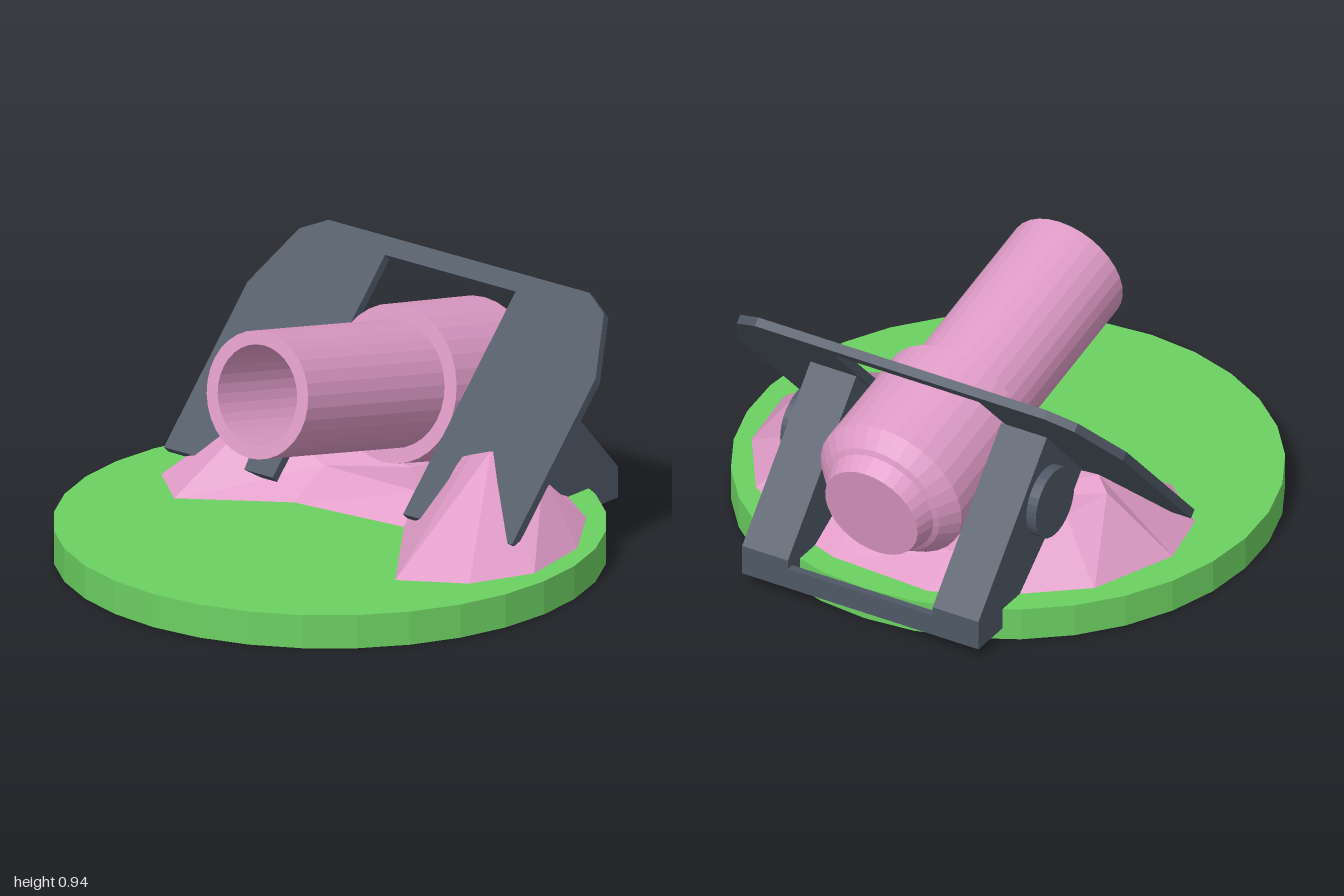
import * as THREE from 'three';

const mat = (color) => new THREE.MeshStandardMaterial({ color, flatShading: true });

export function createModel() {
  const model = new THREE.Group();
  const green = mat(0x6cd062), pink = mat(0xe09cc8), dark = mat(0x4f5866);

  const add = (name, geometry, material, x = 0, y = 0, z = 0) => {
    const mesh = new THREE.Mesh(geometry, material);
    mesh.name = name;
    mesh.position.set(x, y, z);
    model.add(mesh);
    return mesh;
  };
  const shapeOf = (pts) => new THREE.Shape(pts.map(([x, y]) => new THREE.Vector2(x, y)));
  const extrude = (pts, depth) =>
    new THREE.ExtrudeGeometry(shapeOf(pts), { depth, bevelEnabled: false });

  // Round base
  add('base', new THREE.CylinderGeometry(0.985, 0.985, 0.125, 32), green, -0.015, 0.0625, 0);

  // Faceted mound: ground outline [x, z] lofted to a raised ridge [x, y, z], then capped
  const foot = [
    [-0.35, 0.57], [-0.21, 0.8], [0.02, 0.91], [0.33, 0.86], [0.6, 0.68],
    [0.78, 0.42], [0.86, 0.2], [0.88, -0.2], [0.78, -0.42], [0.55, -0.7],
    [0.22, -0.83], [-0.02, -0.78], [-0.19, -0.58], [0.05, -0.22], [0.1, 0.24],
  ].map(([x, z]) => [x, 0.12, z]);
  const ridge = [
    [0.17, 0.44, 0.5], [0.24, 0.44, 0.53], [0.28, 0.43, 0.56], [0.35, 0.36, 0.68], [0.45, 0.33, 0.52],
    [0.6, 0.22, 0.38], [0.7, 0.2, 0.2], [0.7, 0.2, -0.2], [0.6, 0.22, -0.38], [0.45, 0.32, -0.52],
    [0.3, 0.36, -0.6], [0.24, 0.38, -0.53], [0.17, 0.38, -0.48], [0.22, 0.22, -0.22], [0.22, 0.22, 0.22],
  ];
  const centre = [0.45, 0.2, 0];
  const tris = [];
  foot.forEach((a, i) => {
    const j = (i + 1) % foot.length;
    tris.push(a, foot[j], ridge[j], a, ridge[j], ridge[i], centre, ridge[i], ridge[j]);
  });
  const moundGeo = new THREE.BufferGeometry();
  moundGeo.setAttribute('position', new THREE.Float32BufferAttribute(tris.flat(), 3));
  moundGeo.computeVertexNormals();
  add('mound', moundGeo, pink);

  // Hollow barrel with thick breech, turned around its axis and tilted
  const profile = [
    [0, 0.6], [0.18, 0.6], [0.18, 0], [0.23, 0], [0.23, 0.78], [0.285, 0.78],
    [0.29, 1.237], [0.235, 1.3], [0.215, 1.31], [0.19, 1.377], [0, 1.377],
  ].map(([r, t]) => new THREE.Vector2(r, t));
  const barrel = add('barrel', new THREE.LatheGeometry(profile, 32), pink, -0.42, 0.715, 0);
  barrel.rotation.z = -(Math.PI / 2 + 0.219);

  // Sloping shield: two legs joined by a narrow top bar
  const half = [[0.3, 0.915], [0.3, 0], [0.8, 0], [0.8, 0.68], [0.7, 0.925], [0.6, 0.985]];
  const mirrored = half.map(([x, y]) => [-x, y]).reverse();
  const shield = add('shield', extrude([...half, ...mirrored], 0.034), dark);
  const up = new THREE.Vector3(0.687, 0.727, 0).normalize();
  const across = new THREE.Vector3(0, 0, 1);
  shield.quaternion.setFromRotationMatrix(
    new THREE.Matrix4().makeBasis(across, up, across.clone().cross(up)));
  shield.position.set(0.054, 0.185, 0);

  // Side brackets behind the shield
  const bracket = extrude([
    [0.53, 0.68], [0.29, 0.42], [0.56, 0.12], [0.835, 0.12],
    [0.835, 0.045], [1, 0.045], [1, 0.16],
  ], 0.19);
  add('leftBracket', bracket, dark, 0, 0, 0.3);
  add('rightBracket', bracket, dark, 0, 0, -0.49);

  // Bar joining the bracket feet
  add('crossbar', new THREE.BoxGeometry(0.03, 0.08, 0.6), dark, 0.985, 0.085, 0);

  // Pivot through brackets and barrel
  const pivot = add('pivot', new THREE.CylinderGeometry(0.132, 0.132, 1.06, 32), dark, 0.54, 0.425, 0);
  pivot.rotation.x = Math.PI / 2;

  return model;
}
